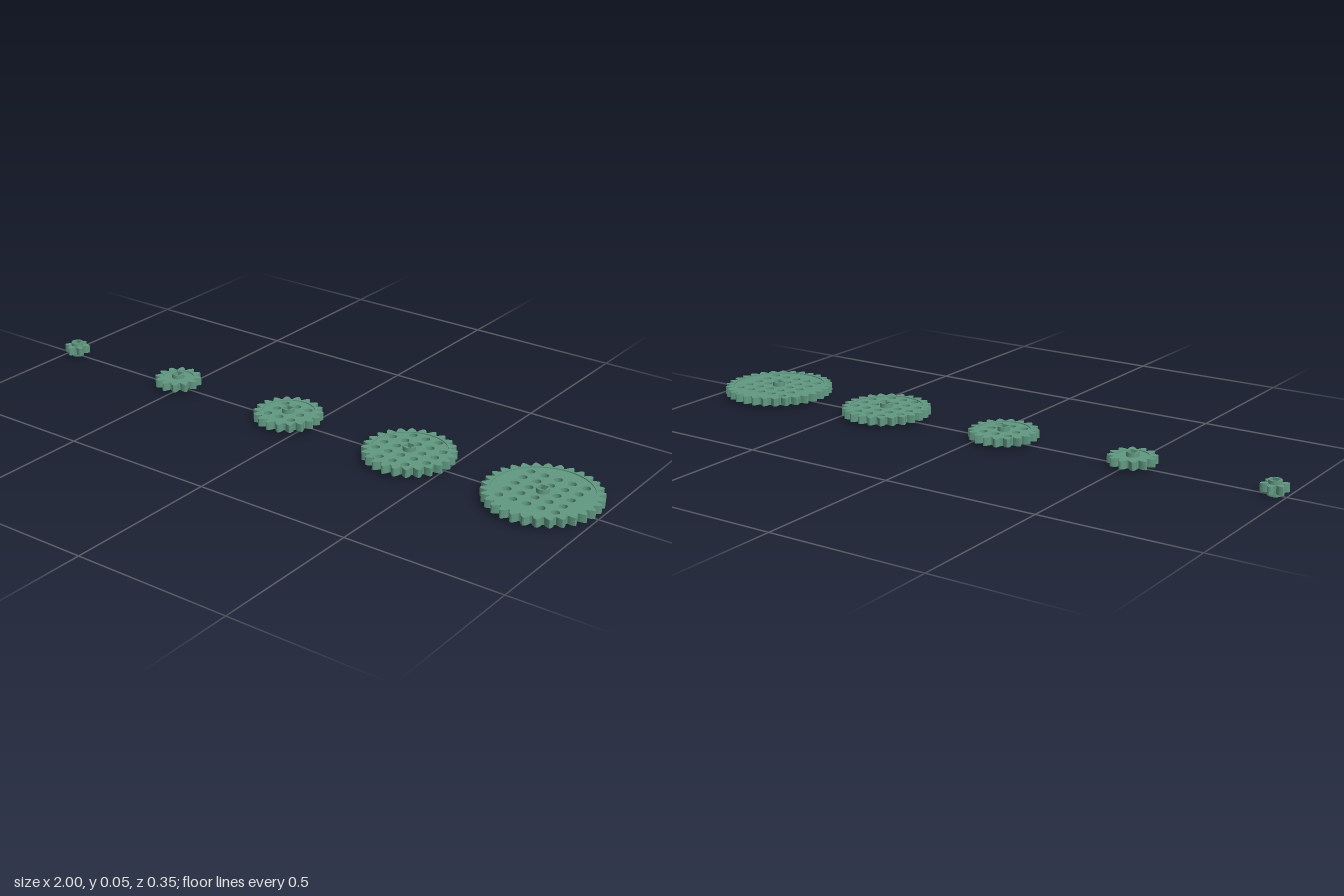
import * as THREE from 'three';

const PITCH = 0.0446;          // spacing of the hole grid
const HEIGHT = 0.0464;         // hub height
const HOLE_R = 0.0125, HUB_R = 0.0196, AXLE = 0.0125;

const green = new THREE.MeshStandardMaterial({ color: 0x619982 });

function circlePath(r, x = 0, y = 0) {
  return new THREE.Path().absarc(x, y, r, 0, Math.PI * 2, true);
}

function squarePath(h) {
  return new THREE.Path([[-h, -h], [-h, h], [h, h], [h, -h], [-h, -h]].map(([x, y]) => new THREE.Vector2(x, y)));
}

// Flat plate lying in the xz plane, centred on the gear's mid height
function plate(name, shape, thickness) {
  const geo = new THREE.ExtrudeGeometry(shape, { depth: thickness, bevelEnabled: false, curveSegments: 24 });
  geo.translate(0, 0, -thickness / 2);
  geo.rotateX(-Math.PI / 2);
  geo.translate(0, HEIGHT / 2, 0);
  const mesh = new THREE.Mesh(geo, green);
  mesh.name = name;
  return mesh;
}

// Toothed outline: [radius, half width as a share of the tooth pitch]
function toothOutline(teeth, pitchR) {
  const flank = [[-0.0115, 0.42], [-0.005, 0.34], [0, 0.25], [0.004, 0.16], [0.0078, 0.06]];
  const points = [];
  const step = (Math.PI * 2) / teeth;
  for (let i = 0; i < teeth; i++) {
    const mid = Math.PI / 2 + i * step;
    const side = (list, sign) => list.forEach(([dr, w]) => {
      const a = mid + sign * w * step, r = pitchR + dr;
      points.push(new THREE.Vector2(Math.cos(a) * r, Math.sin(a) * r));
    });
    side(flank, -1);
    side([...flank].reverse(), 1);
  }
  return new THREE.Shape(points);
}

function makeGear(size) {
  const gear = new THREE.Group();
  const pitchR = 0.0335 * size;
  const rimR = pitchR - 0.018;

  // Toothed rim
  const rim = toothOutline(6 * size, pitchR);
  rim.holes.push(size === 1 ? squarePath(AXLE) : circlePath(rimR));
  gear.add(plate('toothedRim', rim, 0.025));

  // Slightly recessed web with a grid of round holes
  if (size > 1) {
    const web = new THREE.Shape().absarc(0, 0, rimR, 0, Math.PI * 2, false);
    web.holes.push(circlePath(HUB_R));
    for (let i = -2; i <= 2; i++) {
      for (let j = -2; j <= 2; j++) {
        const reach = Math.hypot(i, j) * PITCH + HOLE_R;
        if ((i || j) && reach < rimR - 0.003) web.holes.push(circlePath(HOLE_R, i * PITCH, j * PITCH));
      }
    }
    gear.add(plate('web', web, 0.019));
  }

  // Hub with a square axle hole
  const hub = new THREE.Shape().absarc(0, 0, HUB_R, 0, Math.PI * 2, false);
  hub.holes.push(squarePath(AXLE));
  gear.add(plate('hub', hub, HEIGHT));
  return gear;
}

export function createModel() {
  const model = new THREE.Group();
  model.name = 'gearSet';
  for (let size = 1; size <= 5; size++) {
    const gear = makeGear(size);
    gear.name = `gear${6 * size}Teeth`;
    gear.position.x = -0.963 + (size - 1) * 0.4467;
    model.add(gear);
  }
  return model;
}
